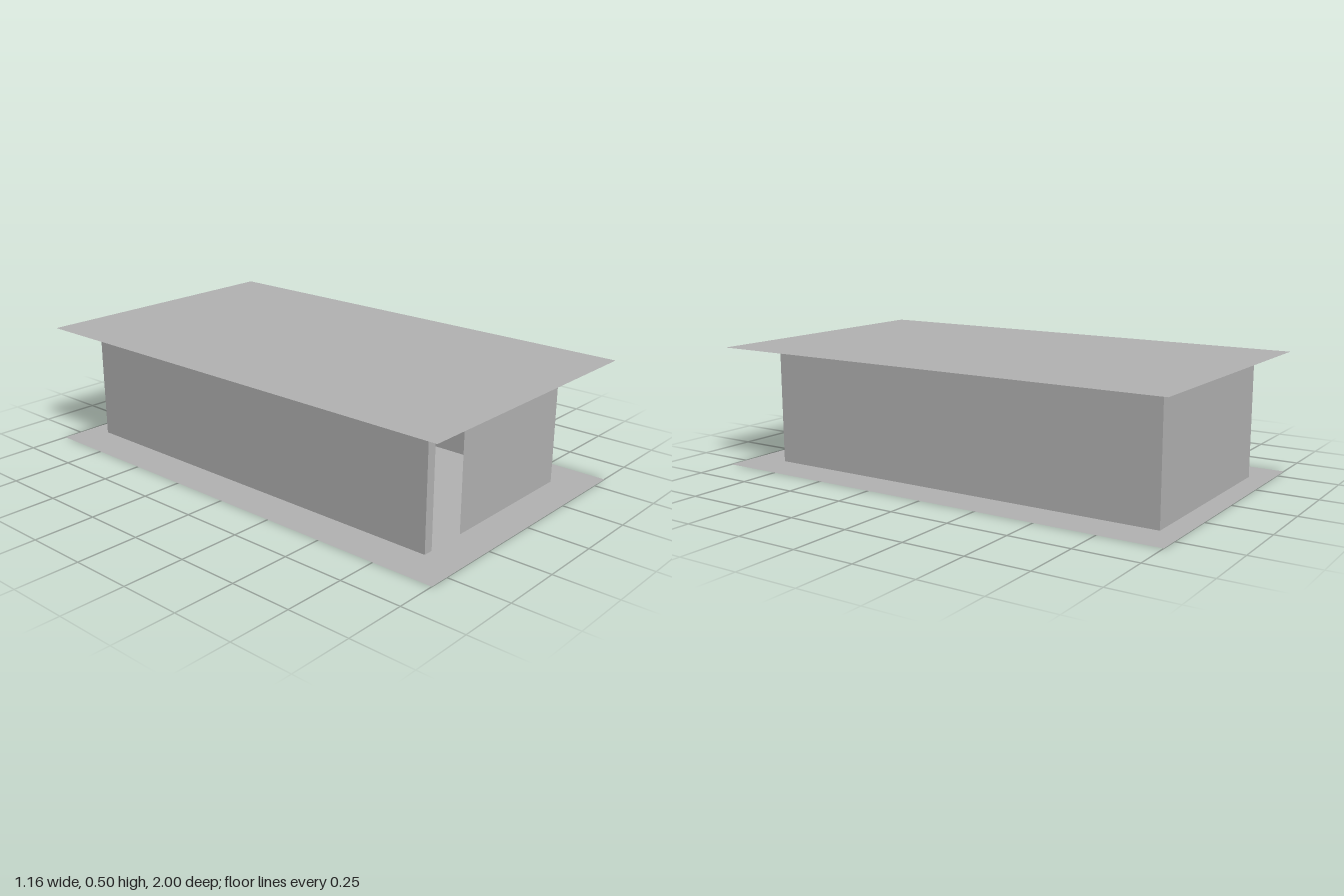
import * as THREE from 'three';

const W = 0.42, H = 0.5, FRONT = 0.85, BACK = -0.91;

export function createModel() {
  const model = new THREE.Group();
  model.name = 'pavilion';
  const grey = new THREE.MeshStandardMaterial({ color: 0xb2b2b2, side: THREE.DoubleSide });
  grey.name = 'grey';

  const add = (name, geometry, [x, y, z], rx = 0, ry = 0) => {
    const mesh = new THREE.Mesh(geometry, grey);
    mesh.name = name;
    mesh.position.set(x, y, z);
    mesh.rotation.set(rx, ry, 0);
    model.add(mesh);
  };

  // Floor and overhanging flat roof
  for (const [name, y] of [['floor', 0], ['roof', H]]) {
    add(name, new THREE.PlaneGeometry(1.165, 2), [0, y, 0], -Math.PI / 2);
  }

  // Thin side walls and back wall
  const depth = FRONT - BACK, midZ = (FRONT + BACK) / 2;
  for (const [name, side] of [['leftWall', 1], ['rightWall', -1]]) {
    add(name, new THREE.PlaneGeometry(depth, H), [side * W, H / 2, midZ], 0, side * Math.PI / 2);
  }
  add('backWall', new THREE.PlaneGeometry(2 * W, H), [0, H / 2, BACK], 0, Math.PI);

  // Front wall, its outline stepping around the open doorway
  const front = new THREE.Shape([
    [-W, 0], [-0.38, 0], [-0.38, 0.42], [-0.21, 0.42],
    [-0.21, 0], [W, 0], [W, H], [-W, H],
  ].map(([x, y]) => new THREE.Vector2(x, y)));
  add('frontWall', new THREE.ShapeGeometry(front), [0, 0, FRONT]);

  return model;
}
